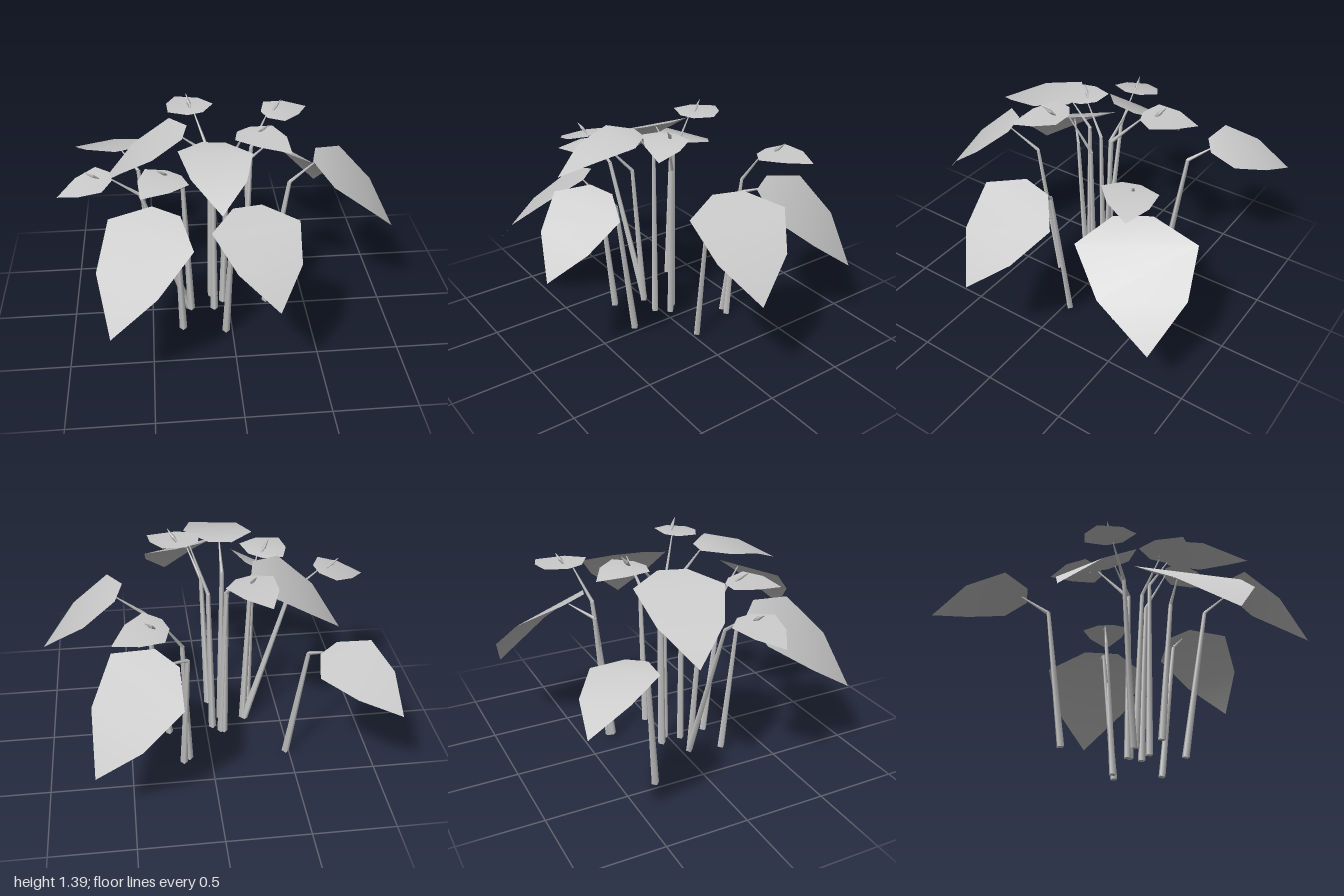
import * as THREE from 'three';

const V = (a) => new THREE.Vector3(...a);
const material = new THREE.MeshStandardMaterial({ color: 0xcccccc, side: THREE.DoubleSide });

// Blade cross-sections: distance along the blade, share of half width, share of arch
const SECTIONS = [[0, 0.33, 0], [0.22, 1, 0.85], [0.62, 0.72, 1]];

// Seven-cornered blade from its base to its tip; span is the half width at the shoulder
function bladeGeometry(base, tip, span, arch) {
  const axis = tip.clone().sub(base);
  const length = axis.length();
  const side = span.clone();
  if (axis.clone().cross(side).y < 0) side.negate();
  const up = axis.clone().cross(side).normalize();
  const points = [];
  for (const [t, width, lift] of SECTIONS) {
    for (const s of [-1, 1]) {
      points.push(base.clone().addScaledVector(axis, t)
        .addScaledVector(side, s * width)
        .addScaledVector(up, lift * arch * length));
    }
  }
  points.push(tip);
  const geometry = new THREE.BufferGeometry().setFromPoints(points);
  geometry.setIndex([0, 2, 1, 1, 2, 3, 2, 4, 3, 3, 4, 5, 4, 6, 5]);
  geometry.computeVertexNormals();
  return geometry;
}

// Tapered four-sided rod between two points
function rod(from, to, r0, r1, name) {
  const dir = to.clone().sub(from);
  const mesh = new THREE.Mesh(new THREE.CylinderGeometry(r1, r0, dir.length(), 4), material);
  mesh.position.copy(from).add(to).multiplyScalar(0.5);
  mesh.quaternion.setFromUnitVectors(new THREE.Vector3(0, 1, 0), dir.normalize());
  mesh.name = name;
  return mesh;
}

// A stem with one bend, carrying a blade
function frond({ foot, knee, base, tip, span }, name, arch) {
  const group = new THREE.Group();
  group.name = name;
  const [f, k, b] = [foot, knee, base].map(V);
  const blade = new THREE.Mesh(bladeGeometry(b, V(tip), V(span), arch), material);
  blade.name = name + 'Blade';
  group.add(blade,
    rod(f, k, 0.024, 0.013, name + 'LowerStem'),
    rod(k, b.clone().lerp(V(tip), 0.06), 0.012, 0.004, name + 'UpperStem'));
  return group;
}

const LEAVES = [
  { foot: [-0.475, 0.025, -0.31], knee: [-0.55, 0.84, -0.39], base: [-0.635, 0.94, -0.49], tip: [-0.965, 0.75, -0.9], span: [0.17, -0.03, -0.12] },
  { foot: [0.175, 0.015, -0.33], knee: [0.15, 0.86, -0.41], base: [0.27, 0.95, -0.495], tip: [0.7, 0.44, -0.87], span: [0.185, 0, 0.28] },
  { foot: [0.245, 0.01, -0.035], knee: [0.37, 0.93, -0.005], base: [0.515, 1.1, -0.025], tip: [1, 0.655, 0.11], span: [0.07, -0.01, -0.275] },
  { foot: [-0.11, 0.035, -0.085], knee: [-0.11, 1.1, -0.09], base: [-0.255, 1.25, -0.09], tip: [-0.775, 0.875, -0.19], span: [0.055, 0.01, -0.255] },
  { foot: [-0.31, 0.035, 0.23], knee: [-0.33, 0.84, 0.3], base: [-0.385, 0.985, 0.35], tip: [-0.715, 0.505, 0.86], span: [0.235, 0.025, 0.22] },
  { foot: [-0.1, 0.035, 0.05], knee: [-0.1, 1.15, 0.05], base: [-0.1, 1.3, 0.15], tip: [-0.095, 1.155, 0.7], span: [0.205, 0, 0.03] },
  { foot: [-0.04, 0.01, 0.25], knee: [-0.01, 0.92, 0.38], base: [0.055, 1.09, 0.51], tip: [0.19, 0.695, 0.95], span: [0.245, -0.015, -0.065] },
];

// Flowers also carry a spike, running from spike[0] to spike[1]
const FLOWERS = [
  { foot: [-0.04, 0.03, -0.03], knee: [-0.01, 1.05, -0.02], base: [0.075, 1.335, 0.07], tip: [0.325, 1.29, 0.305], span: [0.115, 0, -0.082], spike: [[0.15, 1.325, 0.1], [0.21, 1.4, 0.165]] },
  { foot: [-0.09, 0.035, -0.08], knee: [-0.11, 1.1, -0.1], base: [-0.18, 1.29, -0.255], tip: [-0.295, 1.27, -0.565], span: [0.14, 0, -0.05], spike: [[-0.205, 1.285, -0.32], [-0.23, 1.365, -0.39]] },
  { foot: [-0.26, 0.035, 0.03], knee: [-0.53, 0.95, 0.1], base: [-0.69, 1.095, 0.12], tip: [-1, 1.01, 0.19], span: [-0.025, 0, -0.15], spike: [[-0.755, 1.09, 0.135], [-0.835, 1.145, 0.155]] },
  { foot: [-0.25, 0.035, 0.04], knee: [-0.28, 0.98, 0.09], base: [-0.33, 1.155, 0.22], tip: [-0.52, 1.14, 0.47], span: [0.12, 0, 0.1], spike: [[-0.365, 1.155, 0.245], [-0.425, 1.22, 0.31]] },
  { foot: [0.14, 0.035, -0.32], knee: [0.18, 0.96, -0.41], base: [0.27, 1.16, -0.475], tip: [0.565, 1.14, -0.625], span: [0.05, 0, 0.15], spike: [[0.325, 1.16, -0.52], [0.385, 1.225, -0.555]] },
];

export function createModel() {
  const plant = new THREE.Group();
  plant.name = 'plant';
  for (const leaf of LEAVES) plant.add(frond(leaf, 'leaf', 0.08));
  for (const flower of FLOWERS) {
    const group = frond(flower, 'flower', 0.04);
    // Spike: widest near the middle, pointed at both ends
    const [from, to] = flower.spike.map(V);
    const middle = from.clone().lerp(to, 0.45);
    group.add(rod(from, middle, 0.003, 0.012, 'spikeBottom'), rod(middle, to, 0.012, 0.001, 'spikeTop'));
    plant.add(group);
  }
  return plant;
}
